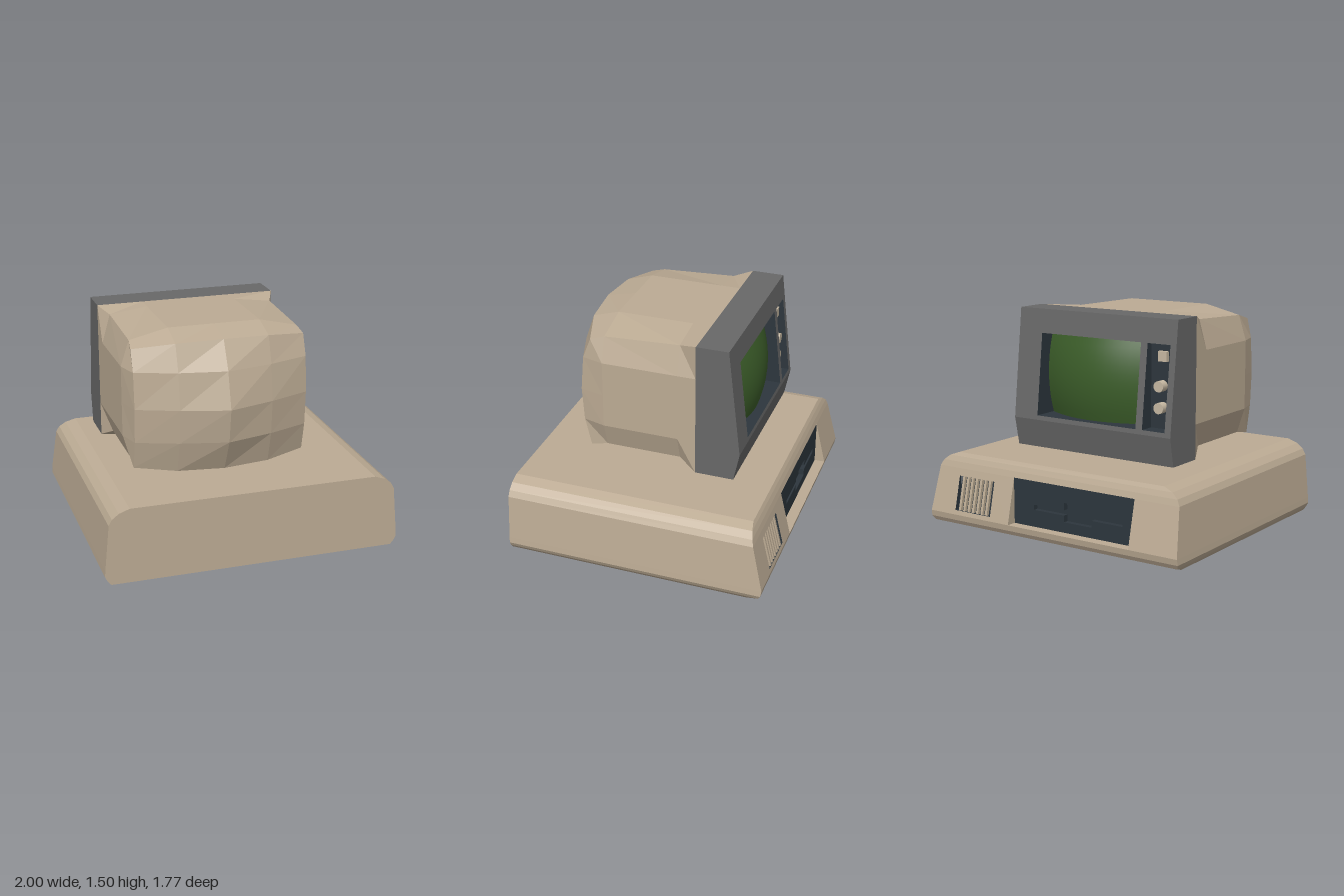
import * as THREE from 'three';

const mat = (name, color, side = THREE.FrontSide) => {
  const m = new THREE.MeshStandardMaterial({ color, side });
  m.name = name;
  return m;
};

// Flat-faced geometry from a list of convex polygons
function faces(polys) {
  const pos = [];
  for (const p of polys)
    for (let i = 1; i < p.length - 1; i++) pos.push(...p[0], ...p[i], ...p[i + 1]);
  const g = new THREE.BufferGeometry();
  g.setAttribute('position', new THREE.Float32BufferAttribute(pos, 3));
  g.computeVertexNormals();
  return g;
}

const rect = (x0, x1, y0, y1) => [[x0, y0], [x1, y0], [x1, y1], [x0, y1]];

// Sheet facing -z with holes, laid on the surface z = zAt(y)
function sheet(outline, holes, zAt) {
  const flip = (pts) => pts.map(([x, y]) => new THREE.Vector2(-x, y));
  const shape = new THREE.Shape(flip(outline));
  for (const h of holes) shape.holes.push(new THREE.Path(flip(h)));
  const g = new THREE.ShapeGeometry(shape).rotateY(Math.PI);
  const p = g.attributes.position;
  for (let i = 0; i < p.count; i++) p.setZ(i, zAt(p.getY(i)));
  g.computeVertexNormals();
  return g;
}

// Walls running from the rim of a hole back to depth zBack
const liner = (pts, zAt, zBack) => faces(pts.map(([x, y], i) => {
  const [u, v] = pts[(i + 1) % pts.length];
  return [[x, y, zAt(y)], [u, v, zAt(v)], [u, v, zBack], [x, y, zBack]];
}));

export function createModel() {
  const caseMat = mat('beige case', 0xbcab94);
  const bezelMat = mat('grey bezel', 0x686868);
  const darkMat = mat('dark recess', 0x2d363d, THREE.DoubleSide);
  const screenMat = mat('green screen', 0x3c5e2a);
  const knobMat = mat('light control', 0xc6b8a2);

  const model = new THREE.Group();
  const group = (name) => {
    const g = new THREE.Group();
    g.name = name;
    model.add(g);
    return g;
  };
  const add = (parent, name, geo, m) => {
    const mesh = new THREE.Mesh(geo, m);
    mesh.name = name;
    parent.add(mesh);
    return mesh;
  };

  // ---- System unit: stacked rectangles [y, half width, drive-side z]
  const unit = group('systemUnit');
  const levels = [[0, 0.96, -0.77], [0.03, 0.985, -0.86], [0.06, 1, -0.878], [0.1, 0.997, -0.885],
    [0.41, 0.967, -0.812], [0.45, 0.945, -0.8], [0.485, 0.9, -0.785], [0.51, 0.83, -0.77]];
  const rings = levels.map(([y, h, z]) => [[-h, y, z], [-h, y, 0.885], [h, y, 0.885], [h, y, z]]);
  const shell = [[...rings[0]].reverse(), rings[rings.length - 1]];
  for (let k = 0; k < rings.length - 1; k++)
    for (let n = 0; n < 4; n++) {
      if (k === 3 && n === 3) continue; // the sloped panel goes here
      const m = (n + 1) % 4;
      shell.push([rings[k][n], rings[k][m], rings[k + 1][m], rings[k + 1][n]]);
    }
  // Drive bay floor and cheeks
  const bx0 = -0.64, bx1 = 0.32, by0 = 0.1, by1 = 0.41, bz0 = -0.885, bz1 = -0.812;
  const cheek = (x) => [[x, by0, bz0], [x, by0, bz1], [x, by1, bz1]];
  shell.push(cheek(bx1), cheek(bx0).reverse(),
    [[bx0, by0, bz0], [bx0, by0, bz1], [bx1, by0, bz1], [bx1, by0, bz0]]);
  add(unit, 'unitCase', faces(shell), caseMat);

  // Sloped panel on both sides of the bay
  const slope = (y) => bz0 + (y - by0) / (by1 - by0) * (bz1 - bz0);
  const vent = rect(0.48, 0.785, 0.13, 0.36);
  add(unit, 'ventPanel', sheet([[bx1, by0], [0.997, by0], [0.967, by1], [bx1, by1]], [vent], slope), caseMat);
  add(unit, 'sidePanel', sheet([[-0.997, by0], [bx0, by0], [bx0, by1], [-0.967, by1]], [], slope), caseMat);

  // Vent with slats
  const ventBack = (y) => slope(y) + 0.03;
  add(unit, 'ventBack', sheet(vent, [], ventBack), darkMat);
  add(unit, 'ventWalls', liner(vent, slope, -0.81), darkMat);
  for (let i = 0; i < 7; i++) {
    const slat = add(unit, 'ventSlat', new THREE.BoxGeometry(0.018, 0.236, 0.02), caseMat);
    slat.position.set(0.48 + 0.305 * (i + 1) / 8, 0.245, slope(0.245) + 0.011);
    slat.rotation.x = Math.atan2(bz1 - bz0, by1 - by0);
  }

  // Disk drive face with a slot and finger notch
  const slot = [[-0.55, 0.215], [-0.31, 0.215], [-0.31, 0.17], [-0.09, 0.17], [-0.09, 0.215], [0.155, 0.215],
    [0.155, 0.25], [-0.09, 0.25], [-0.09, 0.3], [-0.31, 0.3], [-0.31, 0.25], [-0.55, 0.25]];
  add(unit, 'driveFace', sheet(rect(bx0, bx1, by0, by1), [slot], () => bz1), darkMat);
  add(unit, 'driveSlotWalls', liner(slot, () => bz1, -0.775), darkMat);
  add(unit, 'driveSlotBack', sheet(slot, [], () => -0.775), darkMat);

  // ---- Monitor bezel: side profile [z, y] carried across x
  const monitor = group('monitor');
  const mx0 = -0.745, mx1 = 0.5, cx = (mx0 + mx1) / 2;
  const prof = [[-0.265, 1.5], [-0.485, 1.5], [-0.57, 0.76], [-0.53, 0.567], [-0.265, 0.567]];
  const at = (x) => prof.map(([z, y]) => [x, y, z]);
  const L = at(mx0), R = at(mx1);
  const bezel = [L, [...R].reverse()];
  for (let i = 0; i < 5; i++) {
    const j = (i + 1) % 5;
    if (i !== 1) bezel.push([L[i], R[i], R[j], L[j]]);
  }
  add(monitor, 'bezelShell', faces(bezel), bezelMat);
  const faceZ = (y) => -0.57 + (y - 0.76) / 0.74 * 0.085;
  const screenHole = rect(-0.48, 0.31, 0.79, 1.34);
  const controlHole = rect(-0.7, -0.53, 0.79, 1.34);
  add(monitor, 'bezelFace', sheet(rect(mx0, mx1, 0.76, 1.5), [screenHole, controlHole], faceZ), bezelMat);
  add(monitor, 'screenSurround', liner(screenHole, faceZ, -0.37), darkMat);
  add(monitor, 'controlWalls', liner(controlHole, faceZ, -0.46), darkMat);
  add(monitor, 'controlBack', sheet(controlHole, [], () => -0.46), darkMat);

  // Bulging screen
  const screen = new THREE.PlaneGeometry(0.79, 0.55, 14, 10).rotateY(Math.PI);
  const sp = screen.attributes.position;
  for (let i = 0; i < sp.count; i++)
    sp.setZ(i, -0.552 + 0.75 * sp.getX(i) ** 2 + 0.65 * sp.getY(i) ** 2);
  screen.translate(-0.085, 1.065, 0);
  screen.computeVertexNormals();
  add(monitor, 'screen', screen, screenMat);

  // Knobs and switch
  for (const y of [0.93, 1.07]) {
    const knob = add(monitor, 'knob', new THREE.CylinderGeometry(0.036, 0.036, 0.06, 14).rotateX(Math.PI / 2), knobMat);
    knob.position.set(-0.62, y, -0.488);
  }
  add(monitor, 'powerSwitch', new THREE.BoxGeometry(0.065, 0.065, 0.03), knobMat).position.set(-0.63, 1.26, -0.473);

  // ---- Tube housing: 16-point rings on a 5 x 5 grid, closed by a bulging cap
  const gx = [-0.6225, -0.31, 0, 0.31, 0.6225], gy = [0.567, 0.8, 1.03, 1.27, 1.5];
  const edge = [];
  for (let i = 0; i < 4; i++) edge.push([i, 0]);
  for (let j = 0; j < 4; j++) edge.push([4, j]);
  for (let i = 4; i > 0; i--) edge.push([i, 4]);
  for (let j = 4; j > 0; j--) edge.push([0, j]);
  const section = (z, hx, yLow, yHigh) => edge.map(([i, j]) => {
    const corner = i % 4 === 0 && j % 4 === 0;
    return corner ? [cx + Math.sign(i - 2) * hx, j ? yHigh : yLow, z] : [cx + gx[i], gy[j], z];
  });
  // Cap depth by row, from the outer column to the middle one
  const capZ = [[0.49, 0.575, 0.61], [0.535, 0.635, 0.71], [0.55, 0.655, 0.745], [0.53, 0.62, 0.68], [0.475, 0.56, 0.585]];
  const capX = [0.58, 0.31, 0];
  const cap = (i, j) => {
    const c = 2 - Math.abs(i - 2);
    const y = j === 0 ? [0.61, 0.587, 0.583][c] : j === 4 ? [1.41, 1.445, 1.455][c] : gy[j];
    return [cx + Math.sign(i - 2) * capX[c], y, capZ[j][c]];
  };
  const hull = [section(-0.265, 0.6225, 0.567, 1.5), section(-0.14, 0.567, 0.63, 1.465),
    section(0.38, 0.567, 0.63, 1.44), edge.map(([i, j]) => cap(i, j))];
  const skin = [];
  for (let k = 0; k < 3; k++)
    for (let n = 0; n < 16; n++) {
      const m = (n + 1) % 16;
      skin.push([hull[k][n], hull[k][m], hull[k + 1][m]], [hull[k][n], hull[k + 1][m], hull[k + 1][n]]);
    }
  for (let i = 0; i < 4; i++)
    for (let j = 0; j < 4; j++)
      skin.push([cap(i, j), cap(i + 1, j), cap(i + 1, j + 1), cap(i, j + 1)]);
  add(monitor, 'tubeHousing', faces(skin), caseMat);

  return model;
}
